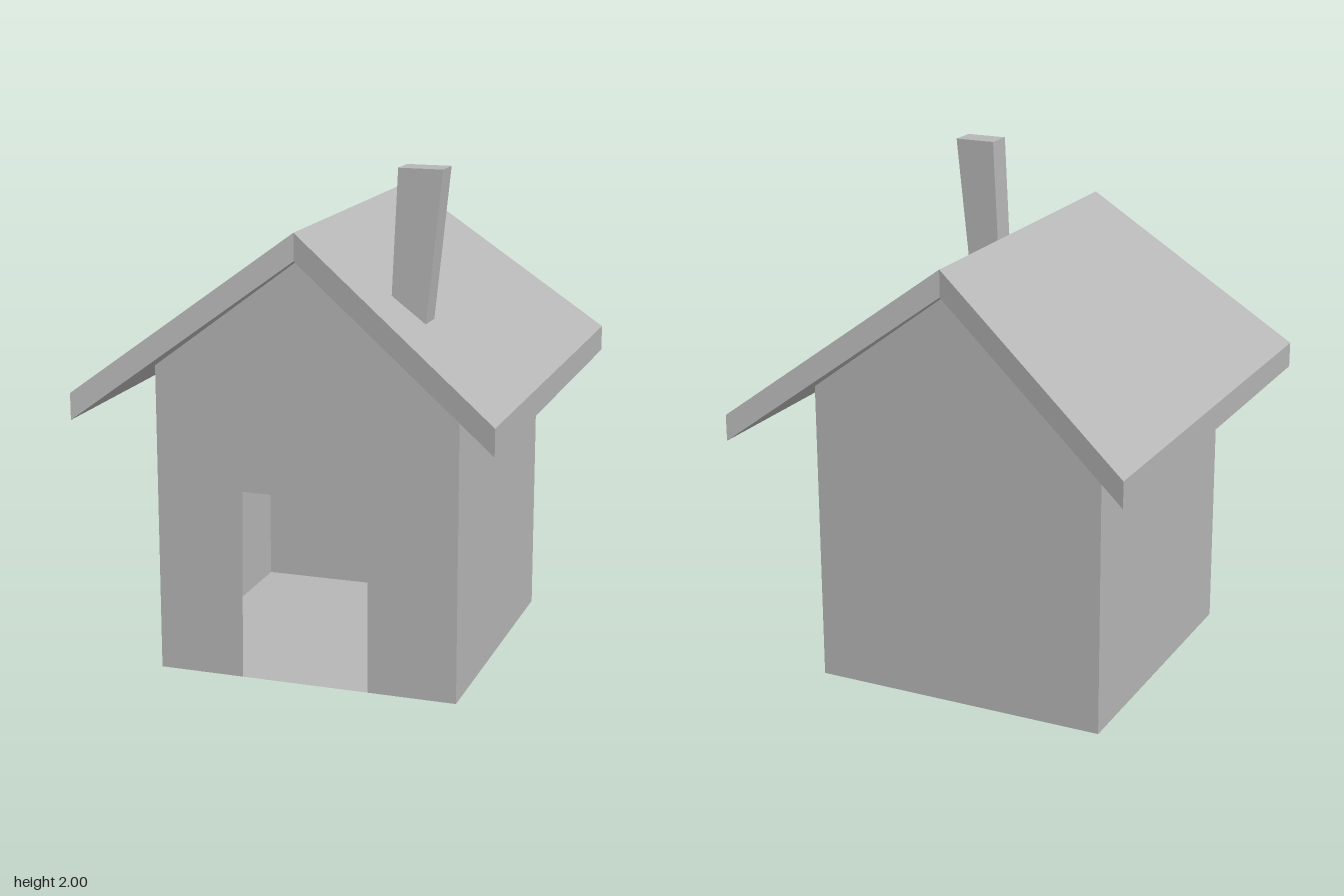
import * as THREE from 'three';

const W = 0.6, EAVE = 1.22, GABLE = 1.668;   // wall half width, wall height, gable peak
const RX = 0.81;                             // roof half width

function shapeOf(points) {
  return new THREE.Shape(points.map(([x, y]) => new THREE.Vector2(x, y)));
}

export function createModel() {
  const group = new THREE.Group();
  const grey = new THREE.MeshStandardMaterial({ color: 0xb6b6b6, flatShading: true, side: THREE.DoubleSide });
  grey.name = 'plain grey';

  const add = (name, geometry, x = 0, y = 0, z = 0) => {
    const mesh = new THREE.Mesh(geometry, grey);
    mesh.name = name;
    mesh.position.set(x, y, z);
    group.add(mesh);
    return mesh;
  };

  // Front wall: gable outline with an open, slightly crooked doorway
  const gable = [[W, 0], [W, EAVE], [0, GABLE], [-W, EAVE], [-W, 0]];
  const doorway = [[-0.26, 0], [-0.25, 0.75], [0.25, 0.745], [0.25, 0]];
  add('frontWall', new THREE.ShapeGeometry(shapeOf([...gable, ...doorway])), 0, 0, W);

  // Back wall
  add('backWall', new THREE.ShapeGeometry(shapeOf(gable)), 0, 0, -W).rotation.y = Math.PI;

  // Thin side walls
  for (const [name, s] of [['leftWall', 1], ['rightWall', -1]]) {
    add(name, new THREE.PlaneGeometry(2 * W, EAVE), s * W, EAVE / 2, 0).rotation.y = s * Math.PI / 2;
  }

  // Floor, seen through the doorway and from below
  add('floor', new THREE.PlaneGeometry(2 * W, 2 * W)).rotation.x = -Math.PI / 2;

  // Roof: chevron slab whose ends flare outward from ridge to eaves
  const roof = new THREE.ExtrudeGeometry(
    shapeOf([[-RX, 1.06], [0, GABLE], [RX, 1.06], [RX, 1.163], [0, 1.772], [-RX, 1.163]]),
    { depth: 2, bevelEnabled: false });
  roof.translate(0, 0, -1);
  const pos = roof.attributes.position;
  for (let i = 0; i < pos.count; i++) {
    pos.setZ(i, pos.getZ(i) * (0.7 + 0.2 * Math.abs(pos.getX(i)) / RX));
  }
  roof.computeVertexNormals();
  add('roof', roof);

  // Chimney: leaning, widening upward, sunk a little into the roof slope
  const chimney = new THREE.ExtrudeGeometry(
    shapeOf([[0.318, 1.49], [0.447, 1.4], [0.51, 2], [0.342, 2]]),
    { depth: 0.11, bevelEnabled: false });
  add('chimney', chimney, 0, 0, 0.427);

  return group;
}
